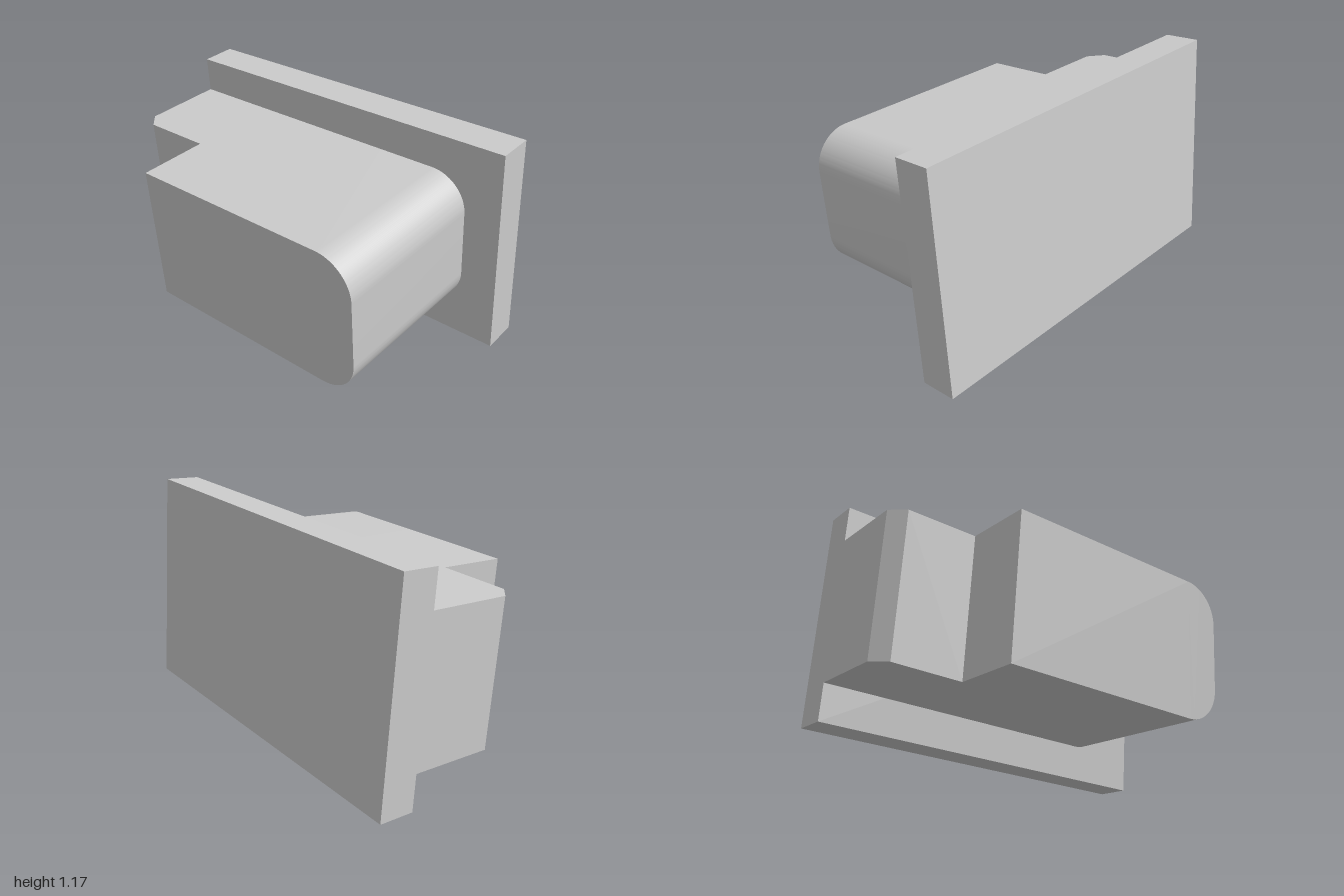
import * as THREE from 'three';
import { toCreasedNormals } from 'three/addons/utils/BufferGeometryUtils.js';

const TILT = THREE.MathUtils.degToRad(5);
const BOTTOM = 0.195, TOP = 0.963; // block height range on the plate
const STEP_Z = -0.54, FRONT_Z = 0.8, RADIUS = 0.2;

export function createModel() {
  const material = new THREE.MeshStandardMaterial({ color: 0xcccccc });
  const model = new THREE.Group();
  model.name = 'tiltedBracket';

  const add = (name, geometry) => {
    const mesh = new THREE.Mesh(geometry, material);
    mesh.name = name;
    model.add(mesh);
  };

  // Base plate: its inner face lies on local x = 0
  add('basePlate', new THREE.BoxGeometry(0.19, 1.156, 2).translate(0.095, 0.578, 0));

  // Main block: side profile (z, y) with rounded front edges, extruded towards -x
  const profile = new THREE.Shape();
  profile.moveTo(STEP_Z, BOTTOM);
  profile.lineTo(FRONT_Z - RADIUS, BOTTOM);
  profile.absarc(FRONT_Z - RADIUS, BOTTOM + RADIUS, RADIUS, -Math.PI / 2, 0);
  profile.lineTo(FRONT_Z, TOP - RADIUS);
  profile.absarc(FRONT_Z - RADIUS, TOP - RADIUS, RADIUS, 0, Math.PI / 2);
  profile.lineTo(STEP_Z, TOP);
  profile.closePath();
  const block = new THREE.ExtrudeGeometry(profile, { depth: 0.897, bevelEnabled: false, curveSegments: 20 });
  block.rotateY(-Math.PI / 2);
  add('mainBlock', toCreasedNormals(block, 0.5));

  // Rear step: plan outline (x, z) with a chamfered corner, extruded downwards
  const plan = new THREE.Shape([
    [0, -1], [0, STEP_Z], [-0.516, STEP_Z], [-0.516, -0.925], [-0.441, -1],
  ].map(([x, z]) => new THREE.Vector2(x, z)));
  const step = new THREE.ExtrudeGeometry(plan, { depth: TOP - BOTTOM, bevelEnabled: false });
  step.rotateX(Math.PI / 2).translate(0, TOP, 0);
  add('rearStep', step);

  // Lean the whole part, resting on the plate's lower inner edge
  model.rotation.z = TILT;
  model.position.x = 0.394;

  const root = new THREE.Group();
  root.name = 'bracket';
  root.add(model);
  return root;
}
